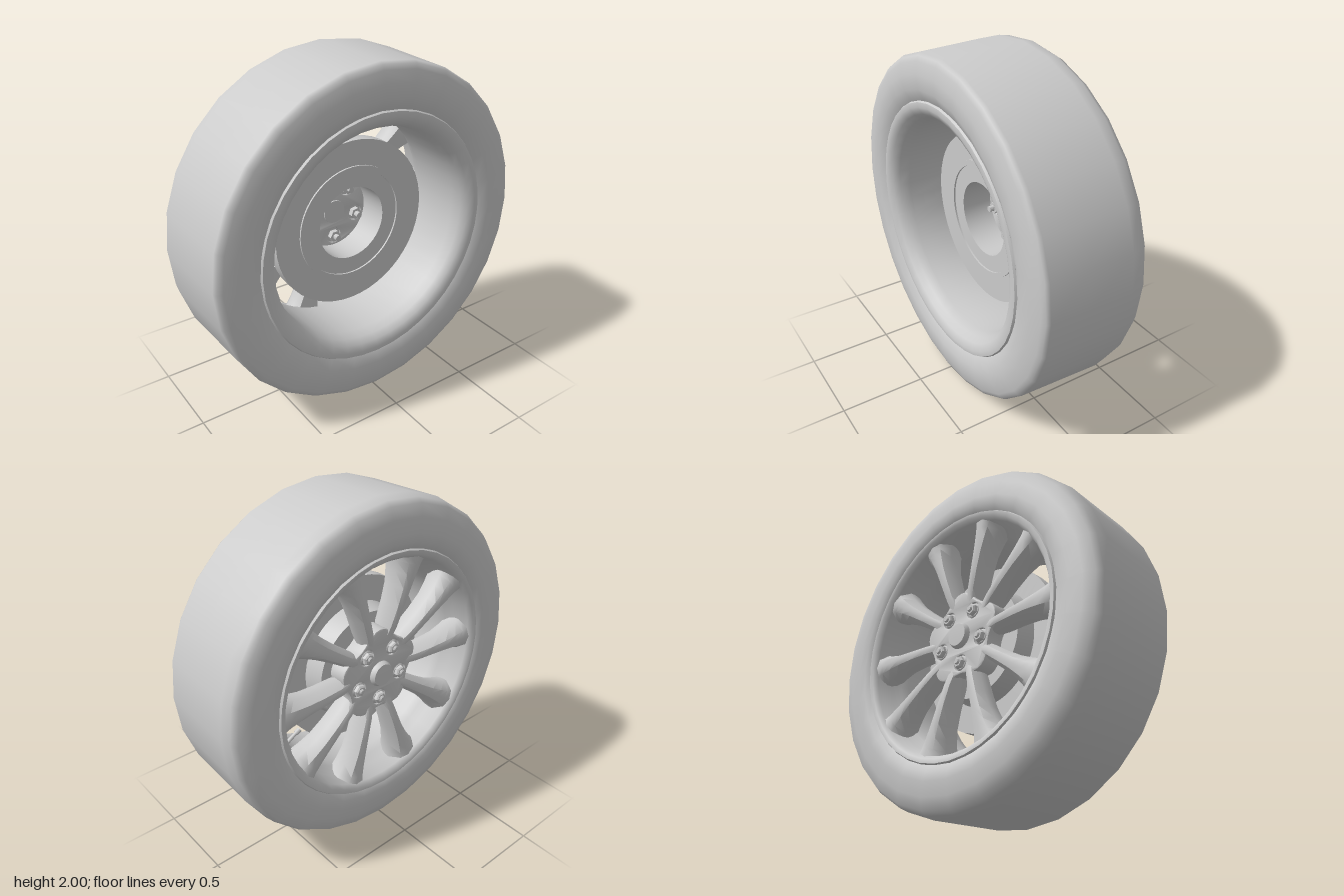
import * as THREE from 'three';
import { toCreasedNormals } from 'three/addons/utils/BufferGeometryUtils.js';

const material = new THREE.MeshStandardMaterial({ color: 0xcccccc, side: THREE.DoubleSide });

// Built with the axle along local z, outer face toward +z
export function createModel() {
  const wheel = new THREE.Group();
  wheel.name = 'wheel';

  const add = (name, geometry, parent = wheel) => {
    const mesh = new THREE.Mesh(geometry, material);
    mesh.name = name;
    parent.add(mesh);
    return mesh;
  };

  // Revolve a profile of [radius, z] points around the axle
  const turned = (profile, segments, crease) => {
    const points = profile.map(([r, z]) => new THREE.Vector2(r, z));
    const geometry = new THREE.LatheGeometry(points, segments).rotateX(Math.PI / 2);
    return crease ? toCreasedNormals(geometry, crease) : geometry;
  };

  // Tyre with rounded shoulders and a slightly tapered tread
  add('tyre', turned([
    [0.7, -0.27], [0.735, -0.3], [0.8, -0.328], [0.88, -0.327], [0.945, -0.312], [0.972, -0.3],
    [0.985, -0.28], [0.992, -0.05], [1, 0.2], [0.988, 0.265], [0.965, 0.3], [0.9, 0.32],
    [0.82, 0.33], [0.77, 0.325], [0.73, 0.305], [0.7, 0.27],
  ], 28));

  // Rim barrel with a lip on each side
  add('rim', turned([
    [0.735, 0.3], [0.725, 0.318], [0.7, 0.315], [0.68, 0.29], [0.665, 0.2], [0.635, 0.15],
    [0.622, 0.1], [0.622, -0.2], [0.635, -0.26], [0.66, -0.295], [0.7, -0.315], [0.728, -0.312],
    [0.735, -0.3], [0.71, -0.26], [0.675, -0.2], [0.66, 0], [0.69, 0.2], [0.735, 0.3],
  ], 40, 0.8));

  // Brake disc with a raised ring and a hat reaching the hub
  add('brakeDisc', turned([
    [0.22, 0.14], [0.22, -0.045], [0.32, -0.045], [0.32, -0.055], [0.35, -0.055], [0.35, -0.045],
    [0.5, -0.045], [0.5, 0.03], [0.35, 0.03], [0.33, 0.14], [0.22, 0.14],
  ], 48, 0.5));

  // Hub: five soft lobes with a hole for each nut
  const nutAngles = [0, 1, 2, 3, 4].map((k) => Math.PI * 1.5 + (k * Math.PI * 2) / 5);
  const outline = [];
  for (let i = 0; i < 60; i++) {
    const a = (i / 60) * Math.PI * 2;
    const r = 0.25 + 0.025 * Math.cos(5 * (a - Math.PI / 2));
    outline.push(new THREE.Vector2(r * Math.cos(a), r * Math.sin(a)));
  }
  const hubShape = new THREE.Shape(outline);
  for (const a of nutAngles) {
    hubShape.holes.push(new THREE.Path().absarc(0.16 * Math.cos(a), 0.16 * Math.sin(a), 0.046, 0, Math.PI * 2, true));
  }
  const hubGeometry = new THREE.ExtrudeGeometry(hubShape, {
    depth: 0.09, bevelThickness: 0.01, bevelSize: 0.01, bevelOffset: -0.01, bevelSegments: 2, curveSegments: 8,
  });
  add('hub', toCreasedNormals(hubGeometry, 0.6)).position.z = 0.15;

  add('centreCap', turned([
    [0, 0.13], [0.07, 0.13], [0.075, 0.26], [0.065, 0.28], [0, 0.283],
  ], 24, 0.6));

  // Wheel nuts: collar, hexagon and stud
  nutAngles.forEach((a) => {
    const nut = new THREE.Group();
    nut.name = 'wheelNut';
    nut.position.set(0.16 * Math.cos(a), 0.16 * Math.sin(a), 0);
    nut.rotation.z = a;
    add('collar', turned([[0, 0.15], [0.047, 0.15], [0.047, 0.235], [0.036, 0.245], [0, 0.245]], 16, 0.6), nut);
    add('hexagon', turned([[0, 0.12], [0.036, 0.12], [0.036, 0.262], [0.028, 0.27], [0, 0.27]], 6, 0.4), nut);
    add('stud', turned([[0, 0.09], [0.018, 0.09], [0.018, 0.272], [0.012, 0.28], [0, 0.28]], 12, 0.6), nut);
    wheel.add(nut);
  });

  // Ten spokes, each lofted through stations of [radius, halfWidth, frontZ, backZ]
  const stations = [
    [0.2, 0.042, 0.25, 0.155], [0.28, 0.044, 0.268, 0.145], [0.4, 0.049, 0.28, 0.15], [0.5, 0.058, 0.287, 0.15],
    [0.58, 0.074, 0.291, 0.14], [0.64, 0.092, 0.294, 0.13], [0.69, 0.118, 0.298, 0.12],
  ];
  const section = [[-0.75, 0], [-1, 0.25], [-0.95, 0.6], [-0.5, 0.95], [0, 1], [0.5, 0.95], [0.95, 0.6], [1, 0.25], [0.75, 0]];
  const n = section.length;
  const positions = [];
  const indices = [];
  stations.forEach(([r, halfWidth, front, back], j) => {
    section.forEach(([u, v], i) => {
      positions.push(u * halfWidth, r, back + v * (front - back));
      if (j === stations.length - 1) return;
      const a = j * n + i;
      const b = j * n + ((i + 1) % n);
      indices.push(a, b, a + n, b, b + n, a + n);
    });
  });
  let spokeGeometry = new THREE.BufferGeometry();
  spokeGeometry.setAttribute('position', new THREE.Float32BufferAttribute(positions, 3));
  spokeGeometry.setIndex(indices);
  spokeGeometry = toCreasedNormals(spokeGeometry, 0.8);
  for (let k = 0; k < 10; k++) {
    add('spoke', spokeGeometry).rotation.z = ((k + 0.5) * Math.PI) / 5;
  }

  // Valve stem pointing inward from the barrel
  const valve = new THREE.Group();
  valve.name = 'valve';
  valve.rotation.z = Math.atan2(0.88, -0.478);
  add('stem', new THREE.CylinderGeometry(0.012, 0.009, 0.1, 10), valve).position.set(0, 0.58, 0.1);
  add('valveCap', new THREE.CylinderGeometry(0.015, 0.015, 0.03, 10), valve).position.set(0, 0.535, 0.1);
  wheel.add(valve);

  // Turn the outer face toward -x and stand the wheel on the floor
  wheel.rotation.y = -Math.PI / 2;
  wheel.position.y = 1;
  const model = new THREE.Group();
  model.add(wheel);
  return model;
}
